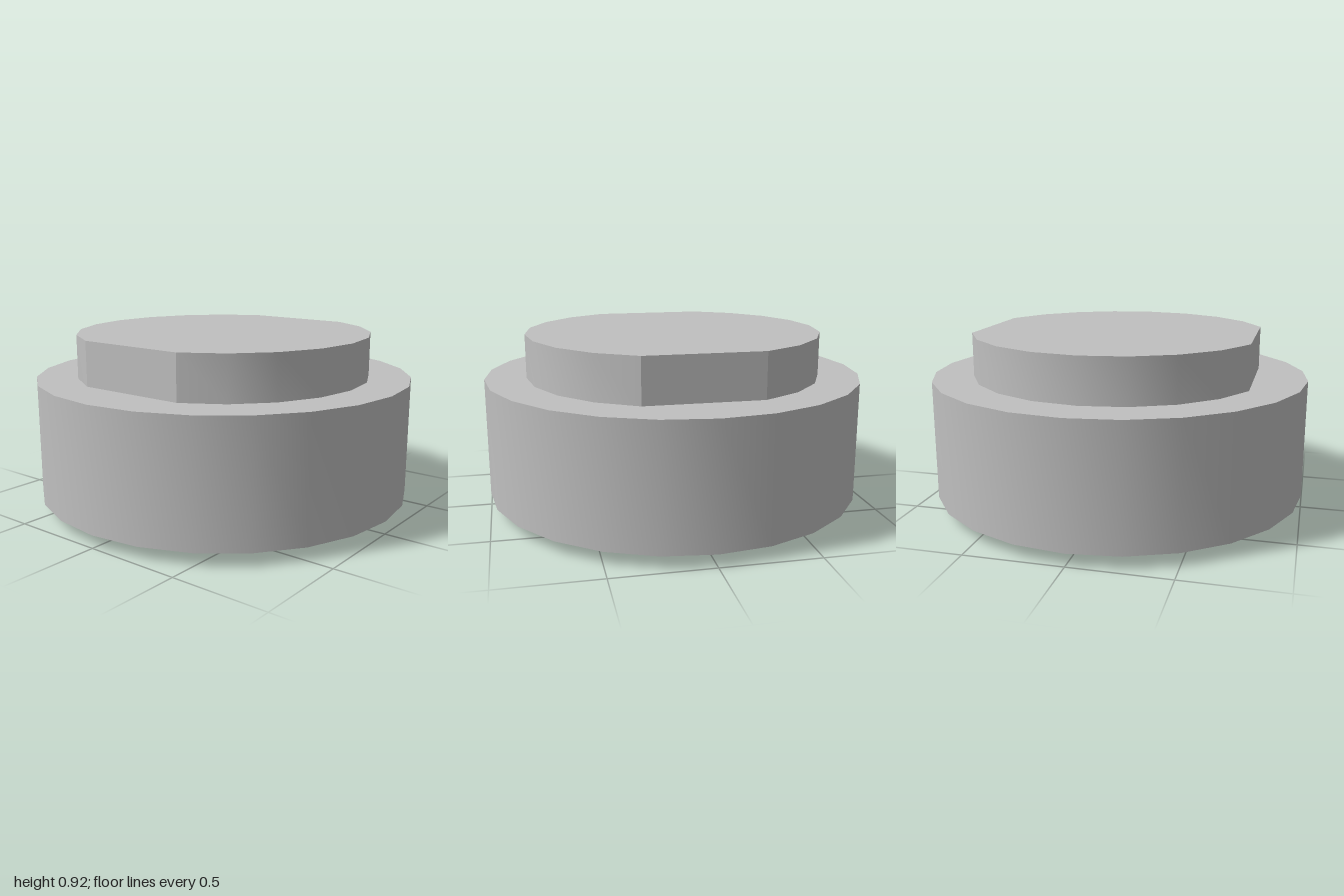
import * as THREE from 'three';
import { toCreasedNormals } from 'three/addons/utils/BufferGeometryUtils.js';

const CREASE = 0.5;

export function createModel() {
  const model = new THREE.Group();
  const grey = new THREE.MeshStandardMaterial({ color: 0xc0c0c0 });
  grey.name = 'grey';

  const add = (name, geometry) => {
    const mesh = new THREE.Mesh(toCreasedNormals(geometry, CREASE), grey);
    mesh.name = name;
    model.add(mesh);
    return mesh;
  };
  // Extrude a plan outline upwards from y0 to y1
  const slab = (shape, y0, y1) =>
    new THREE.ExtrudeGeometry(shape, { depth: y1 - y0, bevelEnabled: false, curveSegments: 16 })
      .rotateX(-Math.PI / 2).translate(0, y0, 0);

  // Main drum, with a shallow pocket underneath for the mounting plate
  const profile = [[0, 0.135], [0.46, 0.135], [0.46, 0.065], [1, 0.065], [1, 0.69], [0, 0.69]];
  add('drum', new THREE.LatheGeometry(profile.map(([r, y]) => new THREE.Vector2(r, y)), 24));

  // Raised cap with a flat at front and back
  const cap = [];
  const half = Math.atan2(0.725, 0.295);
  for (const start of [0, Math.PI]) {
    for (let i = -4; i <= 4; i++) {
      const a = start + (half * i) / 4;
      cap.push(new THREE.Vector2(0.783 * Math.cos(a), 0.783 * Math.sin(a)));
    }
  }
  add('cap', slab(new THREE.Shape(cap), 0.69, 0.92));

  // Mounting plate: centre bore, nine small holes and three pin sockets
  const plate = new THREE.Shape().absarc(0, 0, 0.477, 0, Math.PI * 2, false);
  const hole = (x, y, r) => plate.holes.push(new THREE.Path().absarc(x, y, r, 0, Math.PI * 2, true));
  hole(0, 0, 0.23);
  for (let k = 0; k < 12; k++) {
    const a = (k * Math.PI) / 6;
    const isPin = k % 4 === 3;
    const r = isPin ? 0.325 : 0.302;
    const x = r * Math.cos(a), y = r * Math.sin(a);
    hole(x, y, isPin ? 0.06 : 0.032);
    if (isPin) {
      add('pin', new THREE.CylinderGeometry(0.041, 0.041, 0.135, 16)).position.set(x, 0.0675, -y);
    }
  }
  add('mountingPlate', slab(plate, 0.055, 0.135));

  return model;
}
